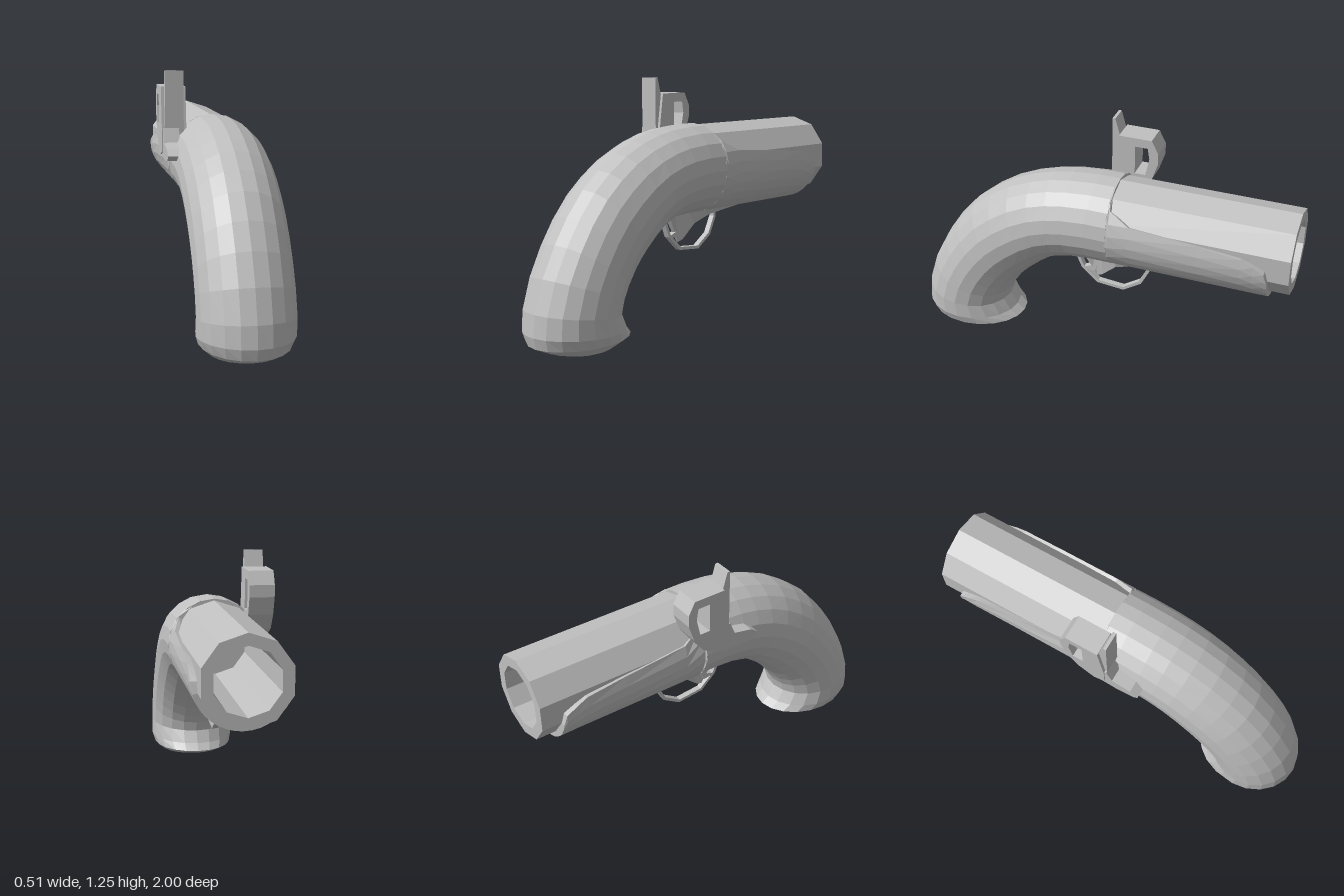
import * as THREE from 'three';

const CX = 0.02; // centre line of the stock and barrel

// Skin matching closed rings of [x, y, z]; each end is closed by a strip across the ring.
function loft(rings) {
  const n = rings[0].length, index = [];
  const pos = rings.flat(2);
  for (let r = 0; r < rings.length - 1; r++) {
    for (let i = 0; i < n; i++) {
      const a = r * n + i, b = r * n + (i + 1) % n;
      index.push(a, b, b + n, a, b + n, a + n);
    }
  }
  const last = (rings.length - 1) * n;
  for (let i = 0; i < n / 2 - 1; i++) {
    const j = n - 1 - i;
    index.push(i, j, j - 1, i, j - 1, i + 1);
    index.push(last + i, last + j - 1, last + j, last + i, last + i + 1, last + j - 1);
  }
  // Turn the faces outward if the enclosed volume is negative
  const p = (i) => new THREE.Vector3().fromArray(pos, i * 3);
  let volume = 0;
  for (let k = 0; k < index.length; k += 3) {
    volume += p(index[k]).dot(p(index[k + 1]).cross(p(index[k + 2])));
  }
  if (volume < 0) index.reverse();
  const g = new THREE.BufferGeometry();
  g.setAttribute('position', new THREE.Float32BufferAttribute(pos, 3));
  g.setIndex(index);
  g.computeVertexNormals();
  return g;
}

// Extrude a side outline of [z, y] points across x, centred on x = cx.
function sidePlate(outline, width, cx, hole) {
  const shape = new THREE.Shape(outline.map((q) => new THREE.Vector2(...q)));
  if (hole) shape.holes.push(new THREE.Path(hole.map((q) => new THREE.Vector2(...q))));
  const g = new THREE.ExtrudeGeometry(shape, { depth: width, bevelEnabled: false });
  return g.rotateY(-Math.PI / 2).translate(cx + width / 2, 0, 0);
}

export function createModel() {
  const model = new THREE.Group();
  const metal = new THREE.MeshStandardMaterial({ color: 0xc0c0c0 });
  metal.flatShading = true;
  const add = (name, geometry) => {
    const mesh = new THREE.Mesh(geometry, metal);
    mesh.name = name;
    model.add(mesh);
  };

  // Curved stock and grip: [outer z, y, inner z, y, half width]
  const sections = [
    [-0.105, 1.028, -0.105, 0.57, 0.23],
    [0, 1.028, 0.02, 0.57, 0.23],
    [0.14, 1.016, 0.12, 0.562, 0.23],
    [0.24, 0.998, 0.185, 0.545, 0.23],
    [0.35, 0.965, 0.245, 0.52, 0.23],
    [0.47, 0.912, 0.305, 0.475, 0.23],
    [0.58, 0.842, 0.37, 0.418, 0.23],
    [0.68, 0.76, 0.42, 0.367, 0.23],
    [0.78, 0.645, 0.46, 0.318, 0.23],
    [0.86, 0.525, 0.495, 0.265, 0.23],
    [0.935, 0.38, 0.515, 0.225, 0.23],
    [0.985, 0.225, 0.526, 0.175, 0.23],
    [0.997, 0.12, 0.49, 0.11, 0.23],
    [0.983, 0.065, 0.45, 0.075, 0.215],
    [0.9, 0.028, 0.56, 0.032, 0.17],
    [0.8, 0.004, 0.66, 0.004, 0.1],
  ];
  add('stock', loft(sections.map(([z1, y1, z2, y2, w]) => {
    const ring = [];
    for (let i = 0; i < 20; i++) {
      const a = (i / 20) * Math.PI * 2, t = (1 - Math.cos(a)) / 2;
      ring.push([CX + w * Math.sin(a), y1 + (y2 - y1) * t, z1 + (z2 - z1) * t]);
    }
    return ring;
  })));

  // Open cradle under the barrel: [z, rim height]
  const rim = [[-0.1, 1.02], [-0.115, 0.945], [-0.22, 0.892], [-0.56, 0.87],
    [-0.77, 0.85], [-0.83, 0.825], [-0.885, 0.795], [-0.9, 0.74]];
  add('foreStock', loft(rim.map(([z, y]) => {
    const reach = Math.acos((0.8 - y) / 0.23), outer = [], inner = [];
    for (let i = 0; i <= 16; i++) {
      const a = reach * (i / 8 - 1), s = Math.sin(a), c = Math.cos(a);
      outer.push([CX + 0.23 * s, 0.8 - 0.23 * c, z]);
      inner.unshift([CX + 0.187 * s, 0.8 - 0.187 * c, z]);
    }
    return outer.concat(inner);
  })));

  // Ten-sided barrel with its bore
  const profile = [[0, 0.06], [0.21, 0.06], [0.21, 1], [0.155, 1], [0.155, 0.14], [0, 0.14]];
  const barrel = new THREE.LatheGeometry(profile.map((q) => new THREE.Vector2(...q)), 10);
  add('barrel', barrel.rotateX(-Math.PI / 2).translate(CX, 0.81, 0));

  // Fairing ahead of the trigger: [z, lowest y, half width]
  const fin = [[-0.5, 0.572, 0.05], [-0.21, 0.545, 0.06], [-0.09, 0.51, 0.055],
    [-0.01, 0.435, 0.025], [0.02, 0.425, 0.015], [0.09, 0.55, 0.04]];
  add('triggerFairing', loft(fin.map(([z, y, w]) => [
    [CX - w, 0.62, z], [CX - w * 0.4, y, z], [CX + w * 0.4, y, z], [CX + w, 0.62, z],
  ])));
  add('trigger', sidePlate([[0.03, 0.53], [0.05, 0.48], [0.085, 0.468], [0.08, 0.458],
    [0.03, 0.45], [0, 0.52]], 0.03, CX));

  // Trigger guard band
  const guard = [[0.135, 0.57], [0.13, 0.53], [0.1, 0.46], [0.015, 0.383],
    [-0.13, 0.37], [-0.225, 0.432], [-0.272, 0.525], [-0.272, 0.57]];
  const inside = guard.map(([z, y]) => [-0.07 + (z + 0.07) * 0.92, 0.57 + (y - 0.57) * 0.92]);
  add('triggerGuard', sidePlate(guard.concat(inside.reverse()), 0.03, CX));

  // Hammer on the right flank: looped jaw, upright plate and tail
  add('hammerJaw', sidePlate([[-0.01, 0.85], [-0.01, 0.96], [-0.04, 1.176], [-0.21, 1.176],
    [-0.245, 1.11], [-0.245, 1.05], [-0.215, 0.96], [-0.16, 0.88], [-0.07, 0.83]], 0.125, -0.193,
  [[-0.125, 0.98], [-0.125, 1.13], [-0.19, 1.13], [-0.2, 1.07], [-0.18, 0.98]]));
  add('hammerPlate', sidePlate([[0, 0.87], [0, 1.257], [-0.015, 1.257], [-0.04, 1.17],
    [-0.04, 0.87]], 0.095, -0.193));
  add('hammerTail', sidePlate([[-0.08, 0.83], [0.05, 0.815], [0.15, 0.825], [0.172, 0.85],
    [0.13, 0.88], [0.03, 0.9], [0, 0.97], [-0.08, 0.95]], 0.08, -0.21));

  return model;
}
